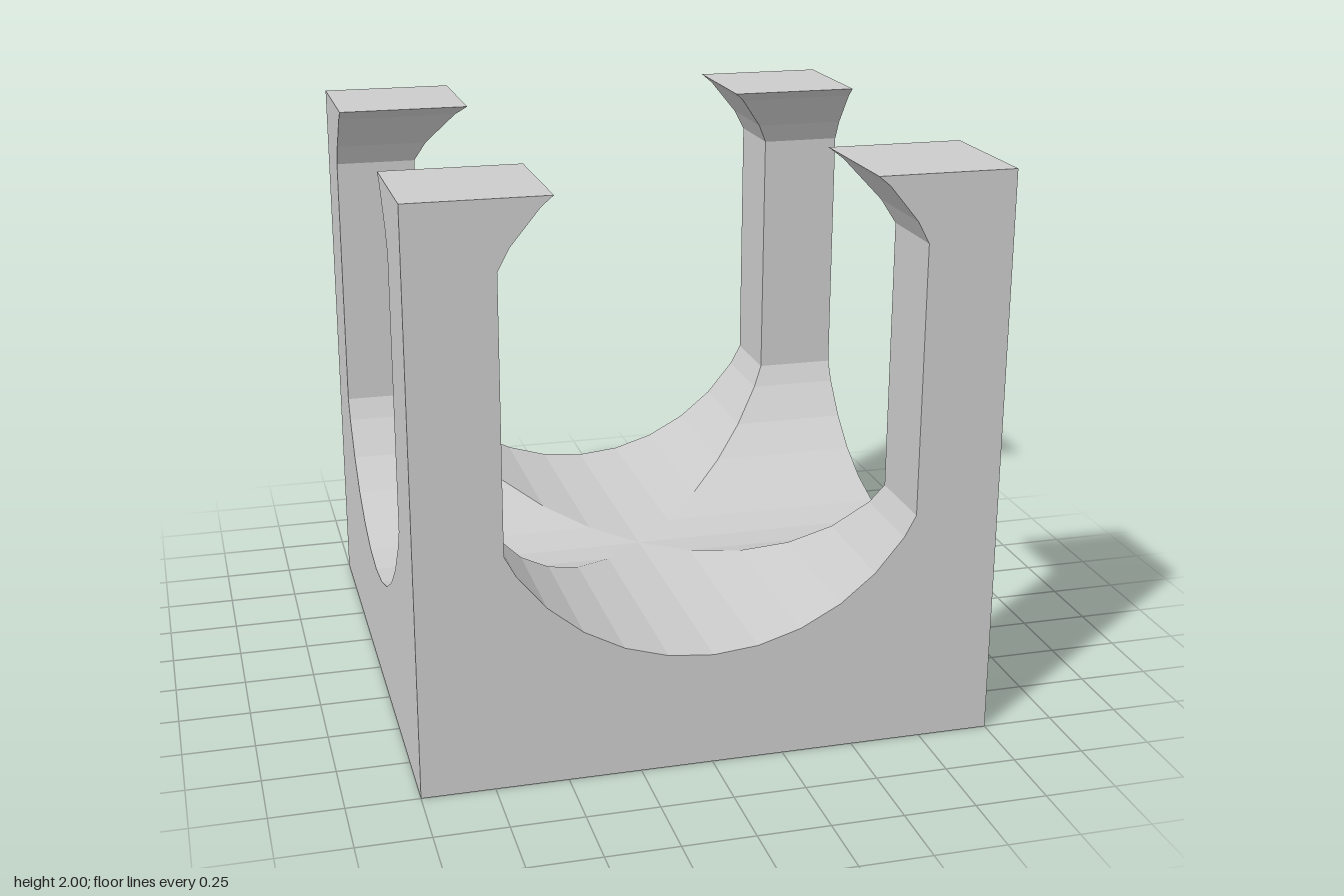
import * as THREE from 'three';

// Half-width of the crossing channels at each height: [halfWidth, y]
const R = 0.8, STEP = Math.PI / 16;
const arc = (i, centre, sign) => [R * Math.sin(i * STEP), centre + sign * R * Math.cos(i * STEP)];
const PROFILE = [
  ...[0, 1, 2, 3, 4, 5].map(i => arc(i, 1.2, -1)),
  [0.705, 0.83], [0.705, 1.77],
  ...[5, 4].map(i => arc(i, 1.4, 1)),
  [0.525, 2],
];

// Square post in one corner, lofted up through the profile
function cornerPostGeometry() {
  const ring = ([h, y]) => [[h, y, h], [1, y, h], [1, y, 1], [h, y, 1]];
  const pos = [];
  const quad = (a, b, c, d) => pos.push(...a, ...b, ...c, ...a, ...c, ...d);
  for (let i = 0; i < PROFILE.length - 1; i++) {
    const low = ring(PROFILE[i]), high = ring(PROFILE[i + 1]);
    for (let k = 0; k < 4; k++) {
      const n = (k + 1) % 4;
      quad(low[k], high[k], high[n], low[n]);
    }
  }
  const [a, b, c, d] = ring(PROFILE[PROFILE.length - 1]);
  quad(a, d, c, b); // flat top
  const geometry = new THREE.BufferGeometry();
  geometry.setAttribute('position', new THREE.Float32BufferAttribute(pos, 3));
  geometry.computeVertexNormals();
  return geometry;
}

export function createModel() {
  const group = new THREE.Group();
  const material = new THREE.MeshStandardMaterial({ color: 0xcccccc, flatShading: true });

  // Solid slab under the channels
  const base = new THREE.Mesh(new THREE.BoxGeometry(2, 0.4, 2), material);
  base.name = 'base';
  base.position.y = 0.2;
  group.add(base);

  // Four flared corner posts that meet in the middle of the base
  const postGeometry = cornerPostGeometry();
  for (let i = 0; i < 4; i++) {
    const post = new THREE.Mesh(postGeometry, material);
    post.name = 'cornerPost' + (i + 1);
    post.rotation.y = i * Math.PI / 2;
    group.add(post);
  }
  return group;
}
